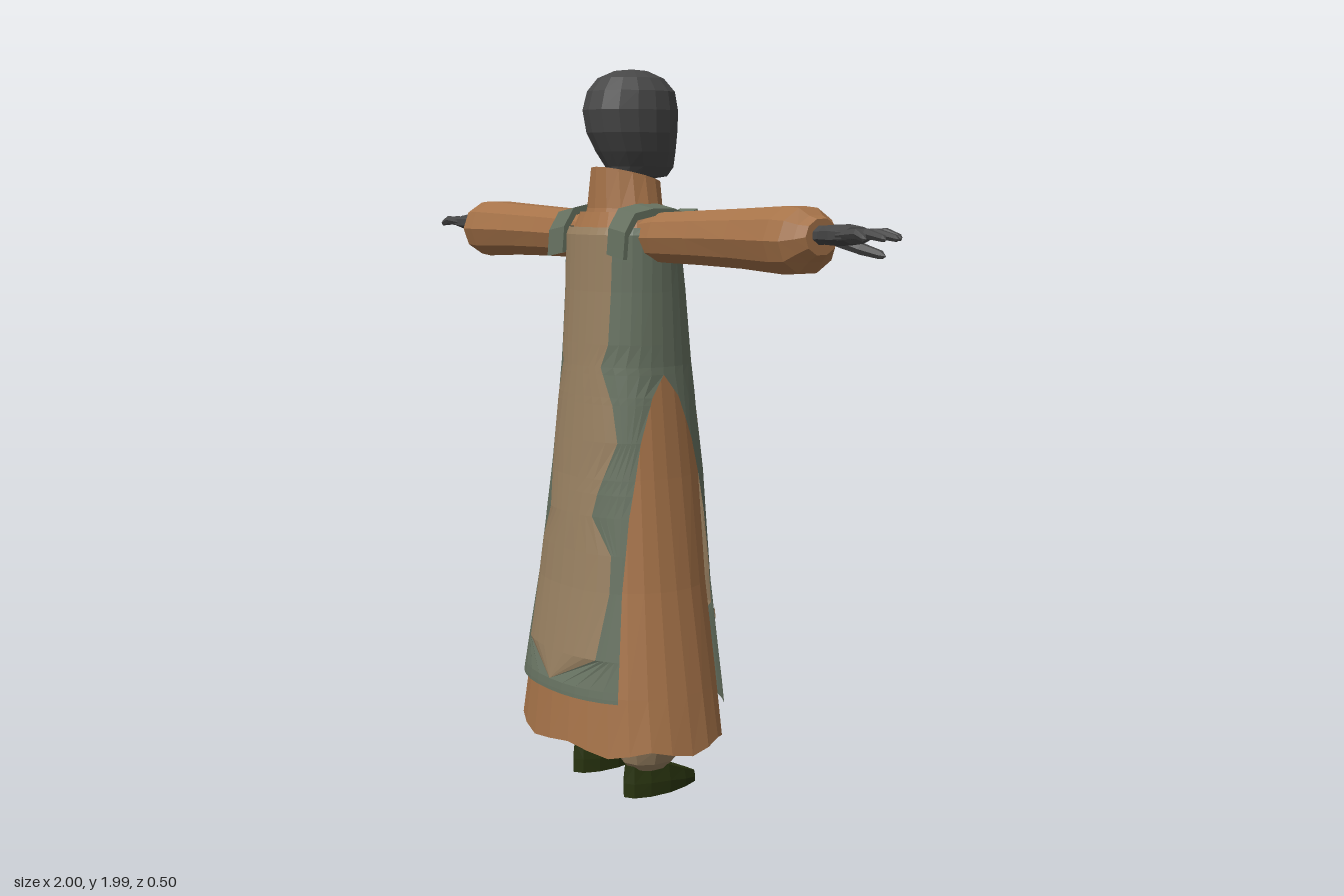
import * as THREE from 'three';

const mat = (name, color, side = THREE.DoubleSide) => new THREE.MeshStandardMaterial({ name, color, side });
const lerpTable = (t, y, k = 1) => {
  if (y <= t[0][0]) return t[0][k];
  for (let i = 1; i < t.length; i++) {
    const p = t[i - 1], q = t[i];
    if (y <= q[0]) return p[k] + (q[k] - p[k]) * (y - p[0]) / (q[0] - p[0]);
  }
  return t[t.length - 1][k];
};

// Faceted skin over rows of points
function skin(rows, closed = true) {
  const n = rows[0].length, pos = [], idx = [];
  rows.forEach(r => r.forEach(p => pos.push(...p)));
  for (let i = 0; i < rows.length - 1; i++)
    for (let j = 0; j < (closed ? n : n - 1); j++) {
      const a = i * n + j, b = i * n + (j + 1) % n;
      idx.push(a, b, b + n, a, b + n, a + n);
    }
  const g = new THREE.BufferGeometry();
  g.setAttribute('position', new THREE.Float32BufferAttribute(pos, 3));
  g.setIndex(idx);
  const flat = g.toNonIndexed();
  flat.computeVertexNormals();
  return flat;
}
const turn = (n, f) => Array.from({ length: n }, (_, i) => f(i / n * Math.PI * 2));

// Upright loft: [y, centre x, half width, z back, z front]
const upright = (table, n) => skin(table.map(([y, cx, rx, zb, zf]) =>
  turn(n, a => [cx + rx * Math.sin(a), y, (zb + zf) / 2 + (zb - zf) / 2 * Math.cos(a)])));
// Sideways loft: [x, centre y, centre z, half height, half depth]
const sideways = (table, n) => skin(table.map(([x, cy, cz, ry, rz]) =>
  turn(n, a => [x, cy + ry * Math.cos(a + Math.PI / n), cz + rz * Math.sin(a + Math.PI / n)])));

// Mirror across x with corner order restored
function mirrored(geo) {
  const g = geo.index ? geo.toNonIndexed() : geo.clone();
  g.scale(-1, 1, 1);
  const p = g.attributes.position;
  for (let i = 0; i < p.count; i += 3) {
    const v = [p.getX(i), p.getY(i), p.getZ(i)];
    p.setXYZ(i, p.getX(i + 1), p.getY(i + 1), p.getZ(i + 1));
    p.setXYZ(i + 1, ...v);
  }
  g.computeVertexNormals();
  return g;
}

// Robe outline: y, half width, depth to the back (+z), depth to the front (-z)
const BODY = [[0.17, 0.325, 0.25, 0.235], [0.32, 0.298, 0.237, 0.228], [0.6, 0.25, 0.195, 0.207], [0.9, 0.207, 0.163, 0.2],
  [1.2, 0.172, 0.138, 0.168], [1.4, 0.166, 0.126, 0.145], [1.55, 0.164, 0.122, 0.118], [1.61, 0.135, 0.1, 0.095]];
const POW = 2 / 2.2;
const signedPow = v => Math.sign(v) * Math.pow(Math.abs(v), POW);
function bodyPoint(y, a, grow = 0) {
  const c = Math.cos(a);
  return [(lerpTable(BODY, y, 1) + grow) * signedPow(Math.sin(a)), y,
    (lerpTable(BODY, y, c > 0 ? 2 : 3) + grow) * signedPow(c)];
}

// Tabard side slit (angle from the panel centre) and coloured field half widths
const SLIT = [[0.25, 0.79], [0.6, 0.83], [0.8, 0.93], [1.0, 1.13], [1.12, 1.35], [1.18, Math.PI / 2]];
const FIELD = {
  back: [[0.34, 0], [0.42, 0.16], [0.6, 0.172], [0.7, 0.165], [0.8, 0.1], [0.86, 0.11], [1.0, 0.15], [1.1, 0.13], [1.2, 0.09], [1.26, 0.108], [1.57, 0.11]],
  front: [[0.4, 0], [0.52, 0.15], [0.7, 0.165], [0.8, 0.12], [0.9, 0.13], [1.05, 0.15], [1.2, 0.11], [1.57, 0.11]],
};
const GROW = 0.014;
const angleAt = (x, y) => Math.asin(Math.pow(Math.min(1, Math.abs(x) / (lerpTable(BODY, y) + GROW)), 1 / POW)) * Math.sign(x);

export function createModel() {
  const group = new THREE.Group();
  const orange = mat('orange cloth', 0xa67349), beige = mat('tan cloth', 0x988061), green = mat('grey green cloth', 0x667160),
    skinMat = mat('charcoal skin', 0x474747, THREE.FrontSide), shoeMat = mat('dark green leather', 0x28330f, THREE.FrontSide);
  const add = (name, geo, m) => {
    const mesh = new THREE.Mesh(geo, m);
    mesh.name = name;
    group.add(mesh);
  };
  const pair = (name, geo, m) => {
    add('left' + name, geo, m);
    add('right' + name, mirrored(geo), m);
  };

  // Head and neck
  add('head', upright([[1.6, 0, 0.05, 0.04, -0.06], [1.7, 0, 0.055, 0.035, -0.1], [1.705, 0, 0.06, 0.037, -0.14], [1.73, 0, 0.077, 0.045, -0.158],
    [1.77, 0, 0.097, 0.072, -0.16], [1.82, 0, 0.111, 0.1, -0.163], [1.88, 0, 0.116, 0.112, -0.165], [1.93, 0, 0.109, 0.098, -0.155],
    [1.965, 0, 0.083, 0.068, -0.122], [1.985, 0, 0.042, 0.02, -0.075], [1.99, 0, 0, -0.03, -0.03]], 16), skinMat);

  // Robe with an uneven hem
  const robeRows = BODY.map(([y], i) => turn(28, a => {
    const p = bodyPoint(y, a);
    if (i === 0) p[1] += 0.012 * Math.sin(a * 7);
    return p;
  }));
  add('robe', skin(robeRows), orange);

  // Standing collar, lower and notched at the front
  const collar = [[1.57, 0.125, 0.105, -0.11], [1.62, 0.112, 0.092, -0.105], [1.73, 0.09, 0.088, -0.108], [1.72, 0.07, 0.065, -0.085]];
  add('collar', skin(collar.map(([y, rx, zb, zf], i) => turn(16, a => {
    const front = (1 - Math.cos(a)) / 2;
    const drop = i > 1 ? 0.045 * front + (front > 0.99 ? 0.06 : 0) : 0;
    return [rx * Math.sin(a), y - drop, (zb + zf) / 2 + (zb - zf) / 2 * Math.cos(a)];
  }))), orange);

  // Tabard: green borders either side of a tan field, on both panels
  for (const [side, bottom, base] of [['back', 0.31, 0], ['front', 0.25, Math.PI]]) {
    const field = FIELD[side];
    const ys = [...new Set([bottom, ...BODY.map(r => r[0]), ...SLIT.map(r => r[0]), ...field.map(r => r[0]), 1.48])]
      .filter(y => y >= bottom && y <= 1.57).sort((p, q) => p - q);
    const inner = y => angleAt(lerpTable(field, y), y), outer = y => lerpTable(SLIT, y);
    const strip = (rows, from, to, n) => skin(rows.map(y => Array.from({ length: n + 1 }, (_, i) =>
      bodyPoint(y, base + from(y) + (to(y) - from(y)) * i / n, GROW))), false);
    add(side + 'PanelBorderA', strip(ys, inner, outer, 5), green);
    add(side + 'PanelBorderB', strip(ys, y => -outer(y), y => -inner(y), 5), green);
    add(side + 'PanelField', strip(ys.filter(y => y >= field[0][0]), y => -inner(y), inner, 8), beige);
  }

  // Chevron near the front hem
  const chevron = [0, 0.05].map(h => Array.from({ length: 13 }, (_, i) => {
    const x = (i - 6) / 6 * 0.17, y = 0.31 + h * (1 - Math.abs(x) * 2.5) + Math.abs(x);
    return bodyPoint(y, Math.PI + angleAt(x, y), GROW + 0.005);
  }));
  add('chevron', skin(chevron, false), beige);

  // Shoulder straps bent over the shoulders, with front pads
  const path = [[1.5, 0.128], [1.57, 0.122], [1.62, 0.09], [1.632, 0.03], [1.632, -0.04], [1.615, -0.09], [1.56, -0.125], [1.5, -0.14]];
  pair('Strap', skin(path.map(([y, z]) => {
    const ny = 0.85, nz = 0.9;
    const y2 = 1.5 + (y - 1.5) * ny, z2 = z * nz;
    return [[0.105, y, z], [0.18, y - 0.012, z], [0.18, y2 - 0.012, z2], [0.105, y2, z2]];
  })), green);
  const pad = new THREE.BoxGeometry(0.075, 0.05, 0.03);
  pad.rotateX(0.45);
  pad.translate(0.145, 1.59, -0.112);
  pair('StrapPad', pad, green);

  // Sleeves gathered at the wrist
  pair('Sleeve', sideways([[0.1, 1.54, -0.01, 0.06, 0.07], [0.2, 1.545, -0.01, 0.069, 0.078], [0.36, 1.548, -0.015, 0.073, 0.082],
    [0.52, 1.55, -0.02, 0.078, 0.092], [0.68, 1.55, -0.02, 0.086, 0.099], [0.73, 1.55, -0.02, 0.082, 0.095],
    [0.755, 1.555, -0.022, 0.058, 0.07], [0.775, 1.56, -0.024, 0.045, 0.052], [0.775, 1.56, -0.024, 0.01, 0.01]], 10), orange);

  // Hands, four fingers and a thumb
  pair('Palm', sideways([[0.74, 1.563, -0.025, 0.026, 0.034], [0.79, 1.565, -0.028, 0.024, 0.036], [0.84, 1.566, -0.033, 0.027, 0.055],
    [0.885, 1.566, -0.033, 0.021, 0.055], [0.895, 1.566, -0.033, 0, 0]], 8), skinMat);
  const fingers = [[-0.072, -0.088, 0.975], [-0.045, -0.053, 1.0], [-0.02, -0.018, 0.995], [0.006, 0.014, 0.965]];
  fingers.forEach(([z0, z1, tip], i) => pair('Finger' + (i + 1), sideways([[0.865, 1.566, z0, 0.014, 0.014], [0.93, 1.572, (z0 + z1) / 2, 0.013, 0.012],
    [tip - 0.008, 1.562, z1, 0.009, 0.009], [tip, 1.56, z1, 0, 0]], 6), skinMat));
  pair('Thumb', sideways([[0.8, 1.553, -0.055, 0.018, 0.016], [0.85, 1.532, -0.085, 0.015, 0.015],
    [0.9, 1.52, -0.096, 0.011, 0.011], [0.915, 1.517, -0.098, 0, 0]], 6), skinMat);

  // Baggy trouser legs
  pair('TrouserLeg', upright([[0.075, 0.125, 0.045, 0.06, -0.06], [0.1, 0.125, 0.068, 0.085, -0.08], [0.15, 0.123, 0.09, 0.1, -0.095],
    [0.24, 0.12, 0.098, 0.1, -0.1], [0.45, 0.11, 0.09, 0.09, -0.09], [0.7, 0.1, 0.08, 0.08, -0.08]], 10), beige);

  // Pointed shoes, lower at the toe
  const sole = [[0, 0, 0], [0, 0.048, 1], [0.04, 0.05, 1], [0.09, 0.042, 0.97], [0.09, 0, 0]];
  pair('Shoe', skin(sole.map(([y, rx, k]) => turn(12, a => {
    const z = -0.04 + 0.125 * k * Math.cos(a), toe = Math.max(0, Math.min(1, (-z - 0.02) / 0.145));
    return [0.125 + rx * signedPow(Math.sin(a)) * (1 - 0.2 * toe), y * (1 - 0.75 * toe) + 0.004 * toe, z];
  }))), shoeMat);

  return group;
}
